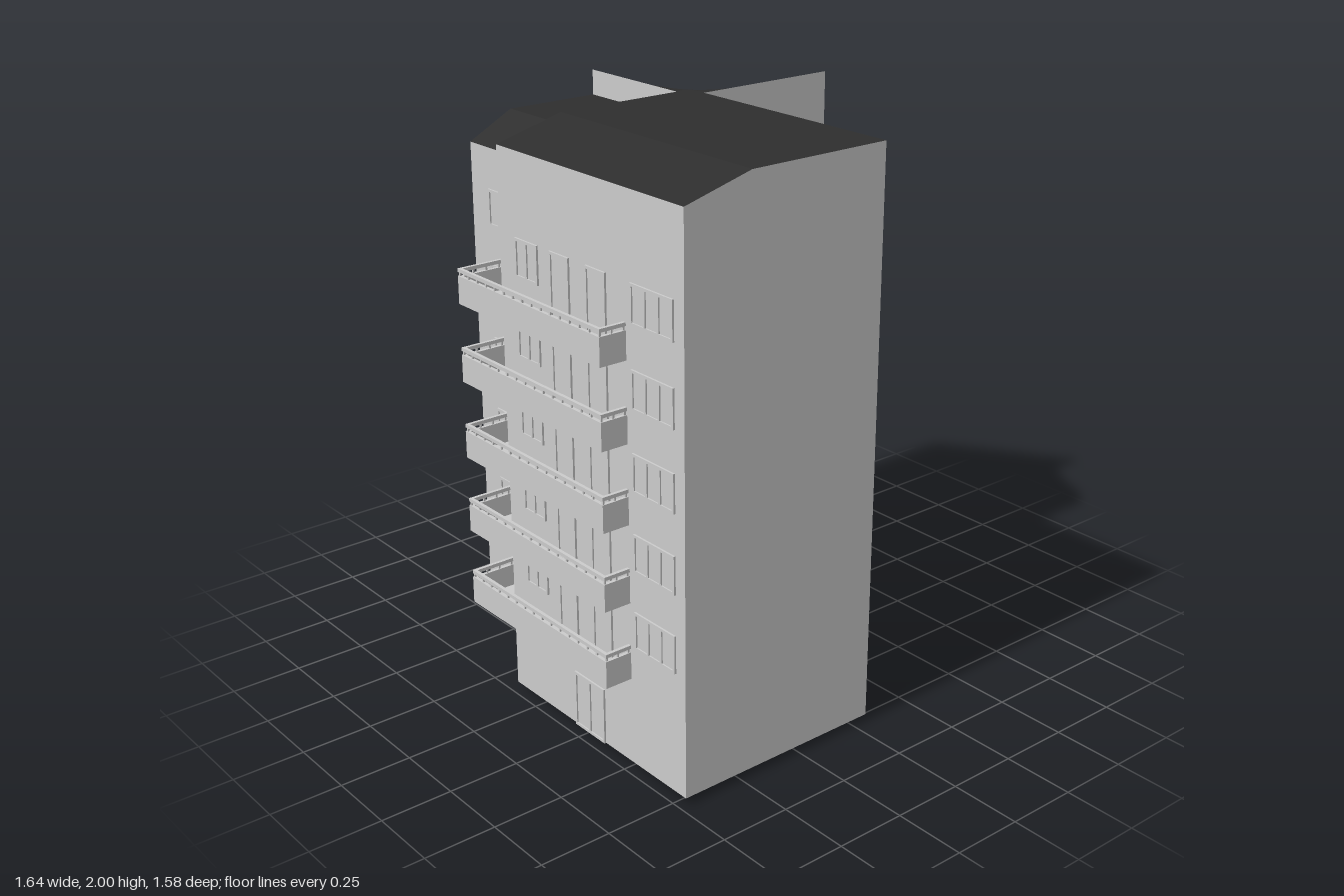
import * as THREE from 'three';

const mat = (color) => new THREE.MeshStandardMaterial({ color, flatShading: true });
const GREY = mat(0xcccccc);
const ROOF = mat(0x2e2e2e);
const BLACK = mat(0x1b1b1b);
const RED = mat(0xcc3318);
const LEFT = -Math.PI / 2, RIGHT = Math.PI / 2, BACK = Math.PI;
const WALL_X = 0.673, BASE = 0.025;

function add(parent, geometry, name, material = GREY) {
  const mesh = new THREE.Mesh(geometry, material);
  mesh.name = name;
  parent.add(mesh);
  return mesh;
}

// Box given by its limits on each axis
function box(parent, name, x0, x1, y0, y1, z0, z1, material) {
  const mesh = add(parent, new THREE.BoxGeometry(x1 - x0, y1 - y0, z1 - z0), name, material);
  mesh.position.set((x0 + x1) / 2, (y0 + y1) / 2, (z0 + z1) / 2);
  return mesh;
}

// Building block on grid lines xs, zs whose top follows roof(x, z); walls and roof become two meshes
function block(parent, name, xs, zs, roof) {
  const nx = xs.length - 1, nz = zs.length - 1;
  const geo = new THREE.BoxGeometry(1, 1, 1, nx, 1, nz);
  const p = geo.attributes.position;
  for (let i = 0; i < p.count; i++) {
    const x = xs[Math.round((p.getX(i) + 0.5) * nx)];
    const z = zs[Math.round((p.getZ(i) + 0.5) * nz)];
    p.setXYZ(i, x, p.getY(i) > 0 ? roof(x, z) : BASE, z);
  }
  const walls = [...geo.index.array];
  const top = walls.splice(geo.groups[2].start, geo.groups[2].count);
  geo.clearGroups();
  [[walls, 'Walls', GREY], [top, 'Roof', ROOF]].forEach(([index, part, material]) => {
    const g = geo.clone();
    g.setIndex(index);
    const flat = g.toNonIndexed();
    flat.computeVertexNormals();
    add(parent, flat, name + part, material);
  });
}

const steps = (a, b, n) => Array.from({ length: n + 1 }, (_, i) => a + (b - a) * i / n);

function rect(target, x0, x1, y0, y1) {
  target.moveTo(x0, y0);
  target.lineTo(x1, y0);
  target.lineTo(x1, y1);
  target.lineTo(x0, y1);
  target.closePath();
  return target;
}

// Framed opening with panes, turned to its wall
function opening(parent, name, x, y, z, turn, w, h, panes = 2, depth = 0.007) {
  const group = new THREE.Group();
  group.name = name;
  const bar = 0.009;
  const frame = rect(new THREE.Shape(), -w / 2, w / 2, 0, h);
  const step = (w - bar) / panes;
  for (let i = 0; i < panes; i++) {
    const a = -w / 2 + bar + i * step;
    frame.holes.push(rect(new THREE.Path(), a, a + step - bar, bar, h - bar));
  }
  add(group, new THREE.ExtrudeGeometry(frame, { depth, bevelEnabled: false }), 'frame');
  box(group, 'pane', -w / 2 + 0.004, w / 2 - 0.004, 0.004, h - 0.004, -0.004, 0.002);
  group.position.set(x, y, z);
  group.rotation.y = turn;
  parent.add(group);
}

// Wrap-around balcony with slab, parapet and rail on posts
function balcony(parent, y) {
  const g = new THREE.Group();
  g.name = 'balcony';
  const x0 = -0.823, z0 = -0.243, z1 = 0.513, t = 0.012;
  box(g, 'sideSlab', x0, -0.725, y, y + 0.018, z0, z1);
  box(g, 'backSlab', -0.725, -0.47, y, y + 0.018, z0, -0.14);
  const runs = [[x0, x0 + t, z0, z1], [x0, -0.47, z0, z0 + t], [x0, -0.725, z1 - t, z1]];
  runs.forEach(([a, b, c, d]) => {
    box(g, 'parapet', a, b, y + 0.018, y + 0.095, c, d);
    box(g, 'rail', a, b, y + 0.108, y + 0.12, c, d);
    const n = Math.max(2, Math.round(Math.max(b - a, d - c) / 0.05));
    for (let i = 0; i <= n; i++) {
      const px = a + t / 2 + (b - a - t) * i / n, pz = c + t / 2 + (d - c - t) * i / n;
      box(g, 'post', px - 0.003, px + 0.003, y + 0.095, y + 0.108, pz - 0.003, pz + 0.003);
    }
  });
  parent.add(g);
}

// Bay window hood: two fins with sloping feet, a top and a recessed pane
function bayWindow(parent, y, z) {
  const g = new THREE.Group();
  g.name = 'bayWindow';
  const fin = new THREE.Shape([[0, 0], [0.042, 0.018], [0.042, 0.2], [0, 0.2]].map(([a, b]) => new THREE.Vector2(a, b)));
  [-0.031, 0.031].forEach((dz) => {
    add(g, new THREE.ExtrudeGeometry(fin, { depth: 0.02, bevelEnabled: false }), 'fin').position.z = dz - 0.01;
    box(g, 'foot', 0, 0.03, -0.005, 0.008, dz - 0.01, dz + 0.01, ROOF);
  });
  box(g, 'hood', 0, 0.042, 0.185, 0.2, -0.021, 0.021);
  box(g, 'pane', 0, 0.012, 0.03, 0.185, -0.021, 0.021);
  g.position.set(0.055, y, z);
  parent.add(g);
}

export function createModel() {
  const model = new THREE.Group();
  model.name = 'apartmentBuilding';

  // Four blocks: two with a sloped eave, two with twisted roofs
  const slope = (x0, x1, low, high) => (x) => low + (high - low) * Math.min(1, (x - x0) / (x1 - x0));
  const across = (x) => (x - 0.055) / (WALL_X - 0.055);
  block(model, 'front', [-0.725, -0.475, 0.055], [-0.14, 0.785], slope(-0.725, -0.475, 1.935, 2));
  block(model, 'back', [-0.47, -0.3, 0.055], [-0.69, -0.14], slope(-0.47, -0.3, 1.8, 1.89));
  block(model, 'tower', steps(0.055, WALL_X, 8), steps(-0.69, -0.14, 8),
    (x, z) => 1.98 - 0.43 * across(x) * (-0.14 - z) / 0.55);
  const sideZ = [-0.14, -0.04, 0.07, 0.15], drop = [0, 0.075, 0.125, 0.205];
  block(model, 'side', steps(0.055, WALL_X, 6), sideZ, (x, z) => 1.787 - across(x) * drop[sideZ.indexOf(z)]);

  // Floors with balconies and windows
  for (let i = 0; i < 5; i++) {
    const y = 0.33 + 0.269 * i;
    balcony(model, y);
    opening(model, 'window', -0.725, y + 0.12, 0.01, LEFT, 0.12, 0.13);
    opening(model, 'balconyDoor', -0.725, y + 0.018, 0.185, LEFT, 0.1, 0.232, 1);
    opening(model, 'balconyDoor', -0.725, y + 0.018, 0.37, LEFT, 0.1, 0.232, 1);
    opening(model, 'wideWindow', -0.725, y + 0.12, 0.64, LEFT, 0.2, 0.13, 3);
    opening(model, 'sideWindow', -0.47, y + 0.12, -0.525, LEFT, 0.12, 0.13);
    opening(model, 'backWindow', -0.245, y + 0.12, -0.69, BACK, 0.13, 0.13);
  }

  // Bay windows
  [0.38, 0.78, 1.16, 1.5].forEach((y) => [0.343, 0.62].forEach((z) => bayWindow(model, y, z)));

  // Ground doors
  opening(model, 'entrance', -0.725, BASE, 0.29, LEFT, 0.16, 0.2);
  opening(model, 'rightDoor', WALL_X, BASE, -0.425, RIGHT, 0.13, 0.185, 1);
  opening(model, 'rightDoor', WALL_X, BASE, -0.575, RIGHT, 0.13, 0.185, 1);
  opening(model, 'backDoor', 0.405, BASE, -0.69, BACK, 0.1, 0.15, 1);

  // Staggered relief tiles, sheared to follow the roof line
  const top = (z) => 1.74 + 0.46 * (z + 0.24);
  for (let c = 0; c < 4; c++) {
    const count = c % 2 ? 12 : 13;
    for (let r = 0; r < count; r++) {
      const geo = new THREE.BoxGeometry(0.014, 1, 0.109);
      const p = geo.attributes.position;
      for (let i = 0; i < p.count; i++) {
        const z = p.getZ(i) - 0.295 - c * 0.109;
        const row = r + (c % 2) / 2 + (p.getY(i) > 0 ? 0.48 : 0);
        p.setXYZ(i, p.getX(i) + WALL_X, 0.36 + (top(z) - 0.36) * row / 12.5, z);
      }
      geo.computeVertexNormals();
      add(model, geo, 'wallTile');
    }
  }

  // Back panel in a thin frame
  box(model, 'panelFrame', 0.172, 0.556, 0.448, 1.342, -0.698, -0.688);
  box(model, 'panel', 0.178, 0.55, 0.454, 1.336, -0.7, -0.69, BLACK);

  // Striped awning
  const awning = new THREE.Group();
  awning.name = 'awning';
  const stripes = 17, width = 0.177 / stripes;
  for (let i = 0; i < stripes; i++) {
    box(awning, 'stripe', i * width, (i + 1) * width, -0.004, 0.004, -0.106, 0, i % 2 ? GREY : RED);
  }
  awning.position.set(0.316, 0.208, -0.69);
  awning.rotation.x = -0.34;
  model.add(awning);

  // Vent duct with a bend at the top
  const duct = new THREE.Shape([[0.66, 1.645], [0.66, 1.608], [0.698, 1.608], [0.718, 1.588], [0.733, 1.54], [0.733, 0],
    [0.82, 0], [0.82, 1.575], [0.8, 1.62], [0.76, 1.643]].map(([x, y]) => new THREE.Vector2(x, y)));
  add(model, new THREE.ExtrudeGeometry(duct, { depth: 0.087, bevelEnabled: false }), 'ventDuct').position.z = -0.188;

  return model;
}
